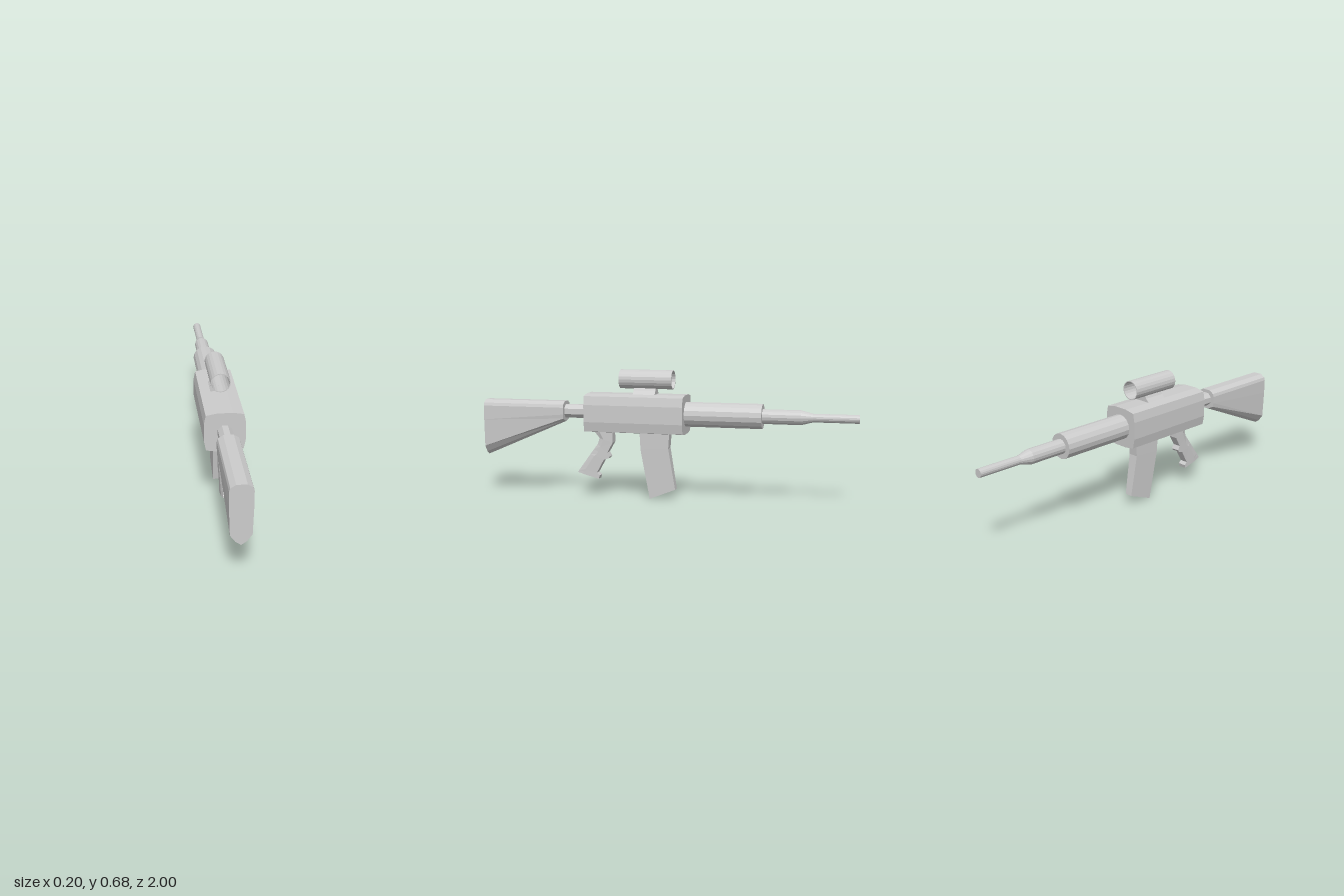
import * as THREE from 'three';

const material = new THREE.MeshStandardMaterial({ color: 0xcccccc, flatShading: true });
const openMaterial = new THREE.MeshStandardMaterial({ color: 0xcccccc, flatShading: true, side: THREE.DoubleSide });

// Closed skin through rings of [x, y, z]; rings run anticlockwise about the direction of travel
function loft(rings) {
  const n = rings[0].length;
  const pos = rings.flat(2);
  const index = [];
  for (let i = 0; i < rings.length - 1; i++) {
    for (let j = 0; j < n; j++) {
      const k = (j + 1) % n;
      const a = i * n + j, b = i * n + k, c = (i + 1) * n + k, d = (i + 1) * n + j;
      index.push(a, b, c, a, c, d);
    }
  }
  // End caps, fanned from the middle of the ring
  [0, rings.length - 1].forEach((r, end) => {
    const centre = [0, 1, 2].map(axis => rings[r].reduce((s, p) => s + p[axis], 0) / n);
    const m = pos.length / 3;
    pos.push(...centre);
    for (let j = 0; j < n; j++) {
      const a = r * n + j, b = r * n + (j + 1) % n;
      index.push(m, end ? a : b, end ? b : a);
    }
  });
  const g = new THREE.BufferGeometry();
  g.setAttribute('position', new THREE.Float32BufferAttribute(pos, 3));
  g.setIndex(index);
  const flat = g.toNonIndexed();
  flat.computeVertexNormals();
  return flat;
}

// Left half of a section, bottom to top, mirrored to a full ring at depth z
function section(half, z) {
  const mirrored = half.filter(p => p[0] > 0).reverse().map(([x, y]) => [-x, y]);
  return [...half, ...mirrored].map(([x, y]) => [x, y, z]);
}

// Downward loft: each station is [rearZ, rearY, frontZ, frontY, halfWidth]
function hanging(stations, rearTaper) {
  return loft(stations.map(([rz, ry, fz, fy, w]) => {
    const t = rearTaper < 1 ? 0.3 : 0.5;
    const mz = rz + (fz - rz) * t, my = ry + (fy - ry) * t;
    const n = w * rearTaper;
    return [[w, fy, fz], [w, my, mz], [n, ry, rz], [-n, ry, rz], [-w, my, mz], [-w, fy, fz]];
  }));
}

// Cylinder along z between two depths, radius r0 at z0 and r1 at z1
function rod(r0, r1, z0, z1, sides, y, open = false) {
  const g = new THREE.CylinderGeometry(r1, r0, z1 - z0, sides, 1, open);
  if (sides === 8) g.rotateY(Math.PI / 8);
  return g.rotateX(Math.PI / 2).translate(0, y, (z0 + z1) / 2);
}

export function createModel() {
  const model = new THREE.Group();
  const add = (name, geometry, parent = model, mat = material) => {
    const mesh = new THREE.Mesh(geometry, mat);
    mesh.name = name;
    parent.add(mesh);
  };
  const axisY = 0.455;

  // Receiver body
  const body = [[0.04, 0.351], [0.092, 0.36], [0.102, 0.41], [0.102, 0.5], [0.093, 0.546], [0.04, 0.556]];
  add('receiver', loft([section(body, -0.115), section(body, 0.415)]));

  // Stock and its neck
  const upper = [[0.055, 0.476], [0.05, 0.492], [0.025, 0.508]];
  const stockFront = [[0, 0.4], [0.03, 0.407], [0.052, 0.418], [0.055, 0.44], ...upper];
  const stockRear = [[0, 0.203], [0.025, 0.22], [0.05, 0.255], [0.055, 0.4], ...upper];
  add('stock', loft([section(stockFront, 0.545), section(stockRear, 1)]));
  add('stockNeck', rod(0.038, 0.038, 0.4, 0.56, 8, axisY));

  // Handguard and stepped barrel
  add('handguard', rod(0.065, 0.065, -0.515, -0.1, 16, axisY));
  const barrel = new THREE.Group();
  barrel.name = 'barrel';
  model.add(barrel);
  add('barrelBase', rod(0.038, 0.038, -0.71, -0.5, 16, axisY), barrel);
  add('barrelTaper', rod(0.022, 0.038, -0.77, -0.71, 16, axisY), barrel);
  add('barrelTip', rod(0.022, 0.022, -1, -0.77, 16, axisY), barrel);

  // Open tube sight on its mount
  const sight = new THREE.Group();
  sight.name = 'sight';
  model.add(sight);
  add('sightOuterTube', rod(0.05, 0.05, -0.045, 0.238, 20, 0.633, true), sight, openMaterial);
  add('sightInnerTube', rod(0.046, 0.046, -0.045, 0.238, 20, 0.633, true), sight, openMaterial);
  [-0.045, 0.238].forEach(z =>
    add('sightRim', new THREE.RingGeometry(0.046, 0.05, 20).rotateZ(Math.PI / 2).translate(0, 0.633, z), sight, openMaterial));
  const mount = [[0.043, 0.55], [0.043, 0.555], [0.026, 0.574], [0.019, 0.588]];
  add('sightMount', loft([section(mount, 0.045), section(mount, 0.163)]), sight);

  // Grip with finger notches
  add('grip', hanging([
    [0.388, 0.356, 0.28, 0.356, 0.024],
    [0.355, 0.315, 0.28, 0.294, 0.024],
    [0.366, 0.283, 0.31, 0.24, 0.023],
    [0.388, 0.253, 0.297, 0.218, 0.023],
    [0.4, 0.237, 0.303, 0.208, 0.023],
    [0.407, 0.227, 0.33, 0.2, 0.023],
    [0.462, 0.151, 0.37, 0.128, 0.022],
    [0.473, 0.136, 0.355, 0.113, 0.022],
    [0.479, 0.126, 0.36, 0.095, 0.022],
  ], 0.65));

  // Angled magazine
  add('magazine', hanging([
    [0.131, 0.356, -0.03, 0.356, 0.028],
    [0.126, 0.262, -0.024, 0.273, 0.027],
    [0.078, 0, -0.06, 0.055, 0.021],
  ], 1));

  return model;
}
